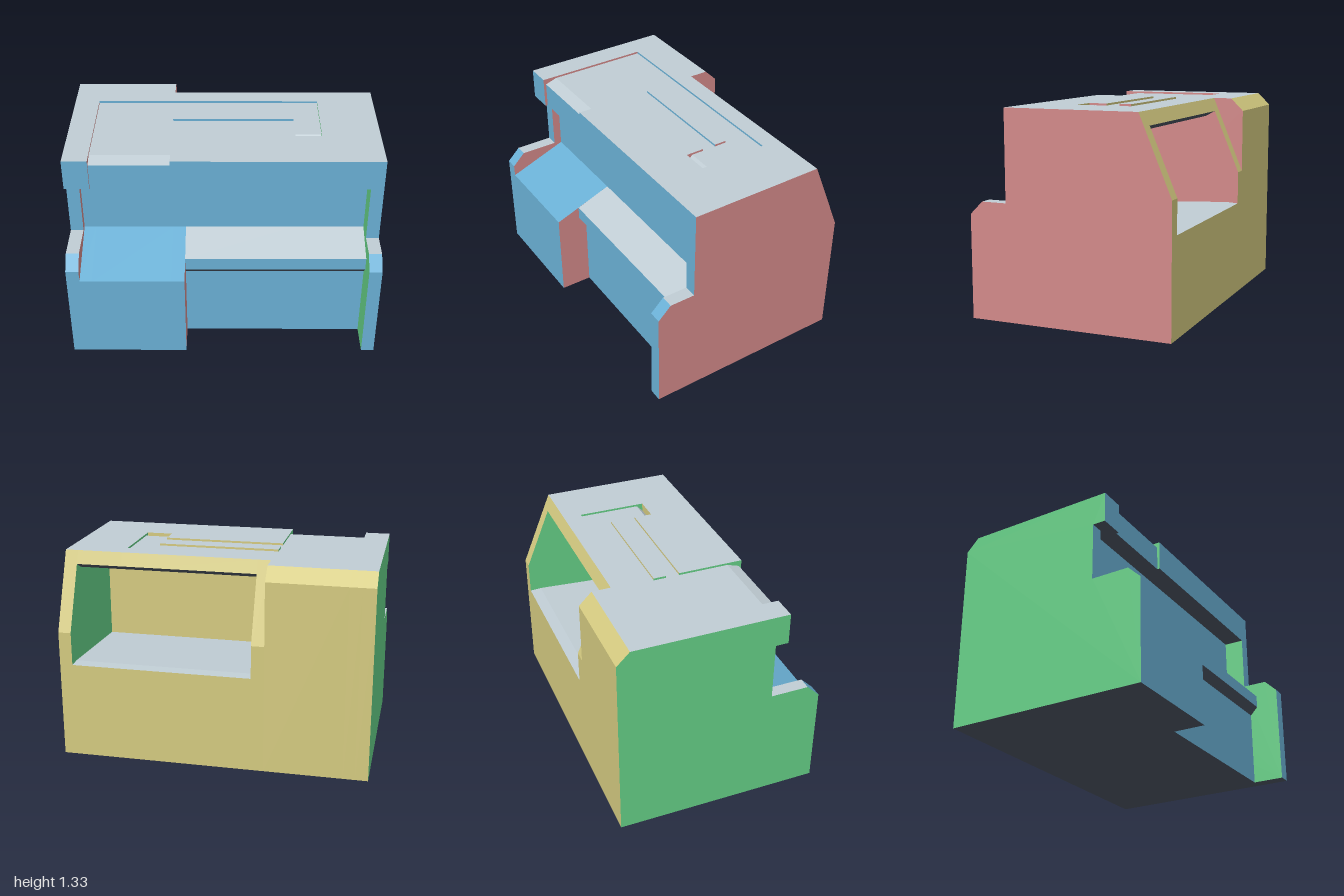
import * as THREE from 'three';

const flat = (name, color) => {
  const m = new THREE.MeshStandardMaterial({ color });
  m.name = name;
  return m;
};

// Colour follows the direction a face looks in.
const materials = [
  flat('front blue', 0x6ab0d5),
  flat('rear olive', 0xd4ca80),
  flat('left side red', 0xd28989),
  flat('right side green', 0x65cf86),
  flat('top grey', 0xc0cdd4),
  flat('underside slate', 0x4a5260),
];

// Sorts triangles into one material group per facing direction.
function paint(geometry, topLimit) {
  const g = geometry.index ? geometry.toNonIndexed() : geometry;
  const p = g.attributes.position;
  const buckets = materials.map(() => []);
  const tri = new THREE.Triangle();
  const n = new THREE.Vector3();
  for (let i = 0; i < p.count; i += 3) {
    tri.setFromAttributeAndIndices(p, i, i + 1, i + 2);
    tri.getNormal(n);
    let k;
    if (Math.abs(n.x) > 0.5) k = n.x > 0 ? 2 : 3;
    else if (n.y > topLimit) k = 4;
    else if (n.y < -0.6) k = 5;
    else k = n.z > 0 ? 0 : 1;
    for (const v of [tri.a, tri.b, tri.c]) buckets[k].push(v.x, v.y, v.z);
  }
  const out = new THREE.BufferGeometry();
  out.setAttribute('position', new THREE.Float32BufferAttribute(buckets.flat(), 3));
  let start = 0;
  buckets.forEach((b, k) => {
    if (b.length) out.addGroup(start, b.length / 3, k);
    start += b.length / 3;
  });
  out.computeVertexNormals();
  return out;
}

const TOP = 1.333, LID = 1.32, OVER = 1.13;

// Front outlines as [z, y], from the floor upwards.
const wing = [[0.667, 0], [0.667, 0.667], [0.583, 0.75]];
const rightWingFront = [...wing, [0.333, 0.75], [0.333, OVER], [0.417, OVER]];
const leftWingFront = [...wing, [0.417, 0.75]];
const recess = [[0.28, 0.74], [0.28, OVER]];
const blockFront = [[0.667, 0], [0.667, 0.59], ...recess];
const lipFront = [[0.458, 0], [0.458, 0.51], [0.51, 0.565], [0.51, 0.65], ...recess];

// Top outlines, from front to rear.
const plainTop = [[0.417, TOP]];
const overhangTop = [[0.417, OVER], [0.417, TOP]];
const lidRear = [[-0.34, LID], [-0.34, TOP]];
const tabTop = [[0.4, OVER], [0.4, 1.295], [0.32, LID], ...lidRear];
const lidTop = [...overhangTop, [-0.01, TOP], [-0.01, LID], ...lidRear];
const fingerTop = [...overhangTop, [0.11, TOP], [0.11, 1.28], [0.07, LID], ...lidRear];

// Rear outlines, from the top down.
const chamferRear = [[-0.583, TOP], [-0.667, 1.25], [-0.667, 0]];
const slantRear = [[-0.46, TOP], [-0.667, 0.84], [-0.667, 0]];
const cavityRear = [[-0.46, TOP], [-0.495, 1.25], [-0.43, 1.215], [0.117, 1.215],
  [0.117, 0.59], [-0.59, 0.63], [-0.667, 0.625], [-0.667, 0]];

export function createModel() {
  const model = new THREE.Group();
  model.name = 'cabinet';

  const add = (name, geometry, topLimit) => {
    const mesh = new THREE.Mesh(paint(geometry, topLimit), materials);
    mesh.name = name;
    model.add(mesh);
  };

  // One section of the body: a side outline drawn out from x0 to x1.
  const section = (name, x0, x1, topLimit, ...outline) => {
    const shape = new THREE.Shape(outline.flat().map(([z, y]) => new THREE.Vector2(z, y)));
    const g = new THREE.ExtrudeGeometry(shape, { depth: x1 - x0, bevelEnabled: false });
    g.rotateY(-Math.PI / 2).translate(x1, 0, 0);
    add(name, g, topLimit);
  };

  const STEEP = 0.943, SOFT = 0.6;
  section('rightWing', -1, -0.917, STEEP, rightWingFront, plainTop, chamferRear);
  section('frontBlockEdge', -0.917, -0.84, STEEP, blockFront, overhangTop, chamferRear);
  section('frontBlockWithLidTab', -0.84, -0.333, STEEP, blockFront, tabTop, chamferRear);
  section('frontBlockInnerEdge', -0.333, -0.25, STEEP, blockFront, lidTop, slantRear);
  section('trayWithLid', -0.25, 0.455, SOFT, lipFront, lidTop, cavityRear);
  section('trayWithFingerNotch', 0.455, 0.625, SOFT, lipFront, fingerTop, cavityRear);
  section('trayEdge', 0.625, 0.917, SOFT, lipFront, overhangTop, cavityRear);
  section('leftWing', 0.917, 1, STEEP, leftWingFront, plainTop, slantRear);

  // Raised bar on the sunken lid
  const bar = new THREE.BoxGeometry(0.788, 0.018, 0.08);
  bar.translate(0.061, TOP - 0.009, -0.14);
  add('lidBar', bar, SOFT);

  return model;
}
